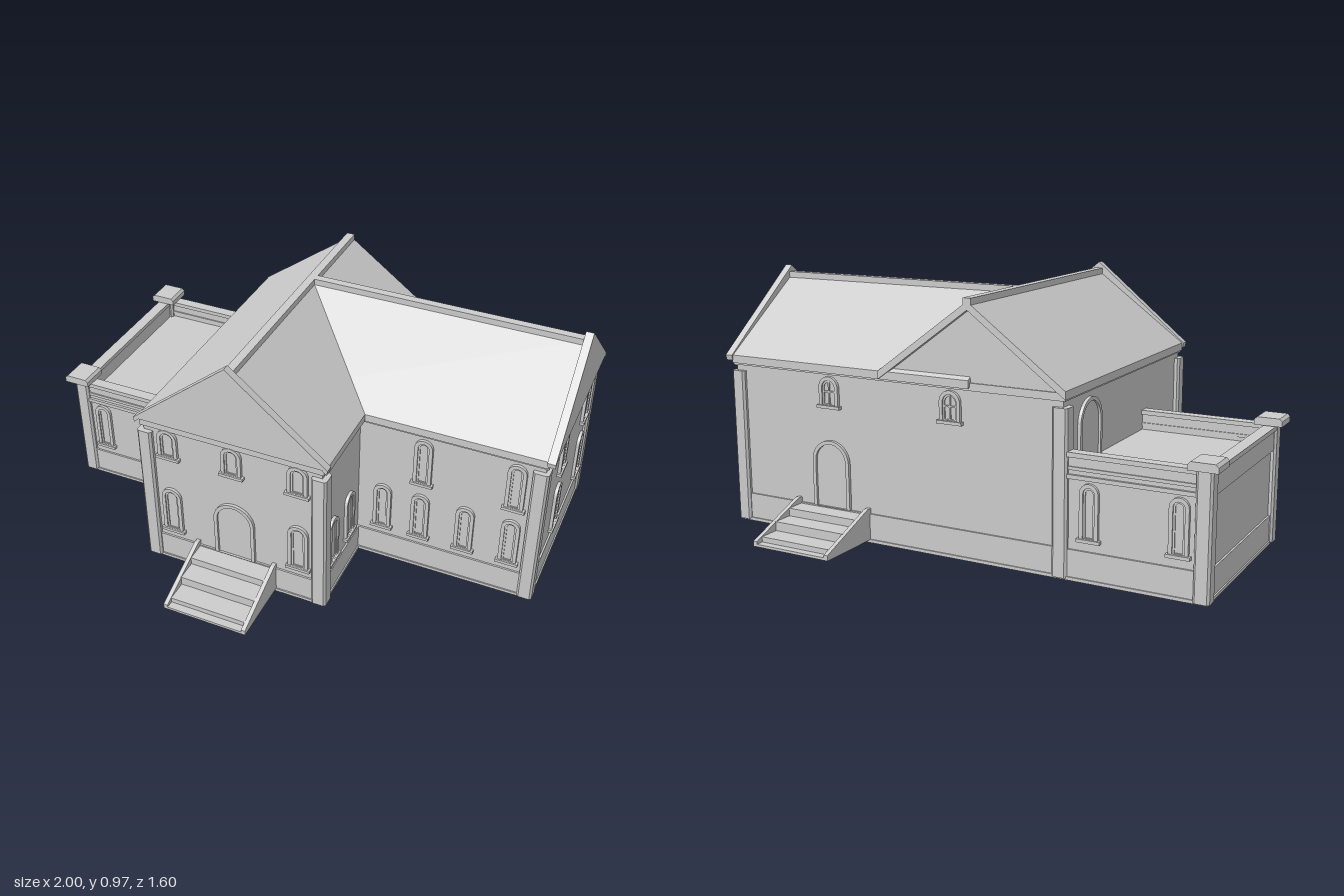
import * as THREE from 'three';

const stone = new THREE.MeshStandardMaterial({ color: 0xcccccc });
stone.name = 'stone grey';

function mesh(parent, name, geo, x = 0, y = 0, z = 0, ry = 0) {
  const m = new THREE.Mesh(geo, stone);
  m.name = name;
  m.position.set(x, y, z);
  m.rotation.y = ry;
  parent.add(m);
  return m;
}

// Box given by its min and max on each axis
function box(parent, name, x0, x1, y0, y1, z0, z1) {
  return mesh(parent, name, new THREE.BoxGeometry(x1 - x0, y1 - y0, z1 - z0),
    (x0 + x1) / 2, (y0 + y1) / 2, (z0 + z1) / 2);
}

function extrude(points, depth) {
  const shape = new THREE.Shape(points.map(p => new THREE.Vector2(p[0], p[1])));
  return new THREE.ExtrudeGeometry(shape, { depth, bevelEnabled: false });
}

// Round-headed outline standing on y = base
function arch(Type, w, h, base = 0) {
  const s = new Type(), r = w / 2;
  s.moveTo(-r, base);
  s.lineTo(r, base);
  s.lineTo(r, h - r);
  s.absarc(0, h - r, r, 0, Math.PI, false);
  s.lineTo(-r, base);
  return s;
}

// Arched surround with pane; windows also get an inner sash and a sill
function opening(parent, name, w, h, x, y, z, ry, { sill = true, bars = false } = {}) {
  const g = new THREE.Group();
  g.name = name;
  g.position.set(x, y, z);
  g.rotation.y = ry;
  parent.add(g);
  const ring = (label, ow, oh, t, base, depth) => {
    const s = arch(THREE.Shape, ow, oh, base);
    s.holes.push(arch(THREE.Path, ow - 2 * t, oh - t, base + (sill ? t * 0.5 : 0.001)));
    mesh(g, label, new THREE.ExtrudeGeometry(s, { depth, bevelEnabled: false, curveSegments: 10 }));
  };
  ring('surround', w, h, 0.014, 0, 0.012);
  if (sill) {
    ring('sash', w - 0.028, h - 0.014, 0.007, 0.007, 0.007);
    box(g, 'sill', -w / 2 - 0.008, w / 2 + 0.008, -0.006, 0.006, 0, 0.018);
  }
  mesh(g, 'pane', new THREE.ShapeGeometry(arch(THREE.Shape, w - 0.026, h - 0.013), 10), 0, 0, 0.003);
  if (bars) {
    box(g, 'mullion', -0.003, 0.003, 0, h - 0.014, 0, 0.008);
    box(g, 'transom', -w / 2 + 0.01, w / 2 - 0.01, h * 0.5 - 0.003, h * 0.5 + 0.003, 0, 0.008);
  }
}

// Chamfered square column
function pilaster(parent, name, x, z, height) {
  const a = 0.029, b = 0.021;
  const geo = extrude([[a, -b], [a, b], [b, a], [-b, a], [-a, b], [-a, -b], [-b, -a], [b, -a]], height);
  geo.rotateX(-Math.PI / 2);
  mesh(parent, name, geo, x, 0.005, z);
}

// Steps running out along +z between two sloping cheeks
function stairs(parent, name, x, z, ry) {
  const g = new THREE.Group();
  g.name = name;
  g.position.set(x, 0, z);
  g.rotation.y = ry;
  parent.add(g);
  [0.105, 0.075, 0.04].forEach((top, i) =>
    box(g, 'step', -0.155, 0.155, 0.01, top, -0.02, 0.06 + i * 0.08));
  box(g, 'bottomStep', -0.155, 0.155, 0.01, 0.02, 0, 0.25);
  const cheek = extrude([[0.03, 0.01], [-0.25, 0.01], [-0.25, 0.03], [0, 0.13], [0.03, 0.13]], 0.016);
  cheek.rotateY(Math.PI / 2);
  for (const cx of [-0.168, 0.152]) mesh(g, 'cheekWall', cheek, cx, 0, 0);
}

// Pitched roof with its ridge along local z
function pitchedRoof(parent, name, length, x, z, ry) {
  const g = new THREE.Group();
  g.name = name;
  g.position.set(x, 0, z);
  g.rotation.y = ry;
  parent.add(g);
  mesh(g, 'slopes', extrude([[0.375, 0.63], [0.375, 0.66], [0, 0.935], [-0.375, 0.66], [-0.375, 0.63], [0, 0.905]], length));
  box(g, 'ridgeCap', -0.016, 0.016, 0.915, 0.947, 0, length);
  // raised gable end
  mesh(g, 'gable', extrude([[-0.378, 0.64], [-0.36, 0.658], [0.36, 0.658], [0.378, 0.64], [0.382, 0.66], [0, 0.972], [-0.382, 0.66]], 0.03), 0, 0, length - 0.005);
  mesh(g, 'gableWall', extrude([[-0.365, 0.62], [0.365, 0.62], [0.365, 0.645], [0, 0.915], [-0.365, 0.645]], 0.02), 0, 0, length - 0.024);
}

export function createModel() {
  const model = new THREE.Group();
  model.name = 'house';
  const E = Math.PI / 2, B = Math.PI;

  // Walls, plinths and cornices of the three blocks
  const blocks = [
    ['frontWing', -0.44, 0.27, -0.53, 0.53, 0.64],
    ['eastWing', 0.27, 0.965, -0.53, 0.185, 0.64],
    ['annex', -0.955, -0.44, -0.53, 0.185, 0.375],
  ];
  for (const [name, x0, x1, z0, z1, top] of blocks) {
    box(model, name + 'Walls', x0, x1, 0.005, top, z0, z1);
    const e = 0.007;
    box(model, name + 'Plinth', x0 - e, x1 + e, 0.005, 0.11, z0 - e, z1 + e);
    box(model, name + 'Footing', x0 - 0.012, x1 + 0.012, 0, 0.012, z0 - 0.012, z1 + 0.012);
    if (top > 0.5) box(model, name + 'Cornice', x0 - 0.01, x1 + 0.01, 0.622, 0.65, z0 - 0.01, z1 + 0.01);
  }

  // Corner pilasters
  for (const [x, z] of [[-0.432, 0.52], [0.262, 0.52], [0.951, 0.175], [0.951, -0.518], [-0.432, -0.518]])
    pilaster(model, 'cornerPilaster', x, z, 0.595);

  // Annex posts with caps
  const capGeo = extrude([[0.052, 0], [0.052, 0.02], [0.042, 0.03], [-0.042, 0.03], [-0.052, 0.02], [-0.052, 0]], 0.104);
  for (const z of [0.172, -0.522]) {
    pilaster(model, 'annexPost', -0.945, z, 0.45);
    mesh(model, 'postCap', capGeo, -0.947, 0.455, z - 0.052);
  }

  // Annex parapet: wall, lower moulding and top rail on the long sides
  for (const z of [0.175, -0.52]) {
    box(model, 'parapetWall', -0.93, -0.44, 0.36, 0.44, z - 0.012, z + 0.012);
    box(model, 'parapetMoulding', -0.93, -0.44, 0.36, 0.375, z - 0.022, z + 0.022);
    box(model, 'parapetBand', -0.93, -0.44, 0.39, 0.402, z - 0.017, z + 0.017);
    box(model, 'parapetRail', -0.93, -0.44, 0.435, 0.452, z - 0.022, z + 0.022);
  }
  box(model, 'endParapet', -0.965, -0.93, 0.36, 0.44, -0.5, 0.15);
  box(model, 'endRail', -0.972, -0.926, 0.435, 0.452, -0.5, 0.15);

  // Crossing roofs
  pitchedRoof(model, 'frontWingRoof', 1.085, -0.083, -0.555, 0);
  pitchedRoof(model, 'eastWingRoof', 1.055, -0.083, -0.175, E);
  // Recessed rear gable
  mesh(model, 'rearGable', extrude([[-0.365, 0.63], [0.365, 0.63], [0.365, 0.645], [0, 0.915], [-0.365, 0.645]], 0.02), -0.083, 0, -0.535);

  // Front wing openings
  for (const x of [-0.343, -0.083, 0.177])
    opening(model, 'upperFrontWindow', 0.08, 0.125, x, 0.5, 0.53, 0);
  for (const x of [-0.343, 0.177])
    opening(model, 'lowerFrontWindow', 0.08, 0.2, x, 0.15, 0.53, 0);
  opening(model, 'frontDoor', 0.165, 0.25, -0.083, 0.11, 0.53, 0, { sill: false });
  for (const z of [0.44, 0.285]) {
    opening(model, 'frontWingEastWindow', 0.08, 0.2, 0.27, 0.15, z, E);
    opening(model, 'frontWingWestWindow', 0.08, 0.2, -0.44, 0.15, z, -E);
  }

  // East wing openings
  for (const x of [0.37, 0.52, 0.695, 0.868])
    opening(model, 'lowerEastWingWindow', 0.07, 0.2, x, 0.15, 0.185, 0);
  for (const x of [0.52, 0.868])
    opening(model, 'upperEastWingWindow', 0.07, 0.2, x, 0.405, 0.185, 0);
  for (const z of [-0.083, -0.43])
    for (const y of [0.15, 0.425])
      opening(model, 'gableEndWindow', 0.08, 0.2, 0.965, y, z, E);

  // Rear openings
  for (const x of [0.525, 0])
    opening(model, 'rearUpperWindow', 0.085, 0.115, x, 0.5, -0.53, B, { bars: true });
  opening(model, 'rearDoor', 0.165, 0.26, 0.525, 0.11, -0.53, B, { sill: false });

  // Annex windows and the door onto its roof
  for (const x of [-0.86, -0.54]) {
    opening(model, 'annexFrontWindow', 0.07, 0.2, x, 0.15, 0.185, 0);
    opening(model, 'annexRearWindow', 0.07, 0.2, x, 0.15, -0.53, B);
  }
  opening(model, 'terraceDoor', 0.18, 0.225, -0.44, 0.375, -0.33, -E, { sill: false });

  // Entrance stairs
  stairs(model, 'frontStairs', -0.083, 0.55, 0);
  stairs(model, 'rearStairs', 0.523, -0.55, B);

  return model;
}
